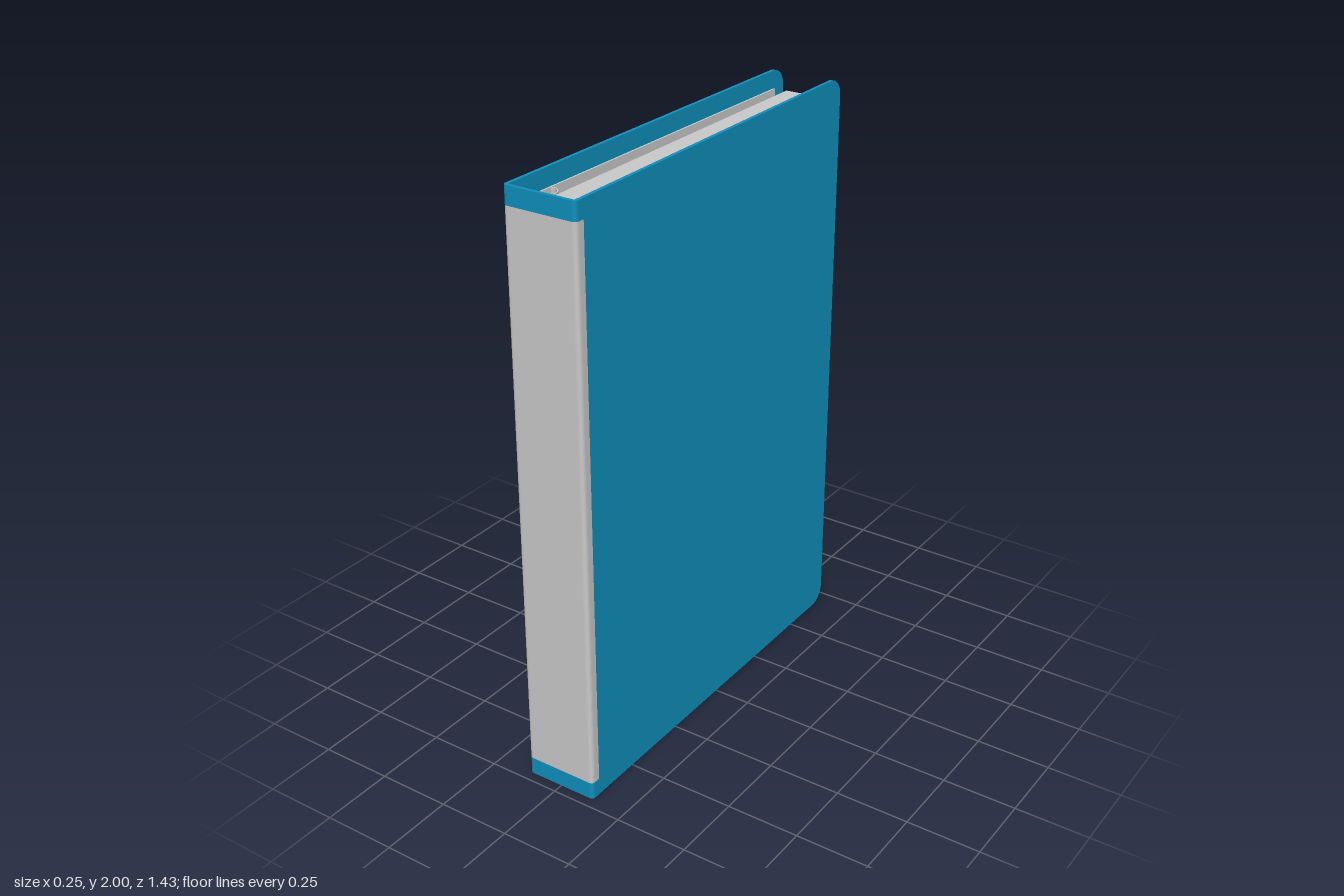
import * as THREE from 'three';

const DEPTH = 0.715;      // half depth of the case
const MARGIN = 0.06;      // border around the grey lining
const BOARD = 0.012;      // cover thickness
const SLOPE = 0.0075;     // the covers close slightly towards the back
const outerX = (z) => 0.121 + SLOPE * z;

export function createModel() {
  const book = new THREE.Group();
  book.name = 'book';
  const blue = new THREE.MeshStandardMaterial({ color: 0x0f90bd });
  blue.name = 'blue cover';
  const grey = new THREE.MeshStandardMaterial({ color: 0xcacaca });
  grey.name = 'light grey paper';

  const add = (name, geometry, material) => {
    const mesh = new THREE.Mesh(geometry, material);
    mesh.name = name;
    book.add(mesh);
    return mesh;
  };

  // Upright board with rounded rear corners, leaned to follow the cover taper
  const board = (side, zBack, zFront, y0, y1, radius, offset, thick) => {
    const s = new THREE.Shape();
    s.moveTo(-zFront, y0);
    s.lineTo(-zBack - radius, y0);
    s.absarc(-zBack - radius, y0 + radius, radius, -Math.PI / 2, 0, false);
    s.lineTo(-zBack, y1 - radius);
    s.absarc(-zBack - radius, y1 - radius, radius, 0, Math.PI / 2, false);
    s.lineTo(-zFront, y1);
    s.closePath();
    const g = new THREE.ExtrudeGeometry(s, { depth: thick, bevelEnabled: false, curveSegments: 8 });
    g.translate(0, 0, -thick / 2).rotateY(Math.PI / 2);
    const p = g.attributes.position;
    for (let i = 0; i < p.count; i++) {
      p.setX(i, p.getX(i) + side * (outerX(p.getZ(i)) - offset - thick / 2));
    }
    g.computeVertexNormals();
    return g;
  };

  // Plan outline in x and z, raised from y0 to y1
  const raise = (shape, y0, y1) => {
    const g = new THREE.ExtrudeGeometry(shape, { depth: y1 - y0, bevelEnabled: false, curveSegments: 6 });
    return g.rotateX(-Math.PI / 2).translate(0, y0, 0);
  };

  // U-shaped spine section with rounded front corners
  const zJoin = 0.68;
  const spineShape = () => {
    const s = new THREE.Shape();
    const w = outerX(DEPTH), r = 0.015;
    s.moveTo(-w, -zJoin);
    s.lineTo(-w, -DEPTH + r);
    s.quadraticCurveTo(-w, -DEPTH, -w + r, -DEPTH);
    s.lineTo(w - r, -DEPTH);
    s.quadraticCurveTo(w, -DEPTH, w, -DEPTH + r);
    s.lineTo(w, -zJoin);
    s.lineTo(w - BOARD, -zJoin);
    s.lineTo(w - BOARD, -DEPTH + BOARD);
    s.lineTo(-w + BOARD, -DEPTH + BOARD);
    s.lineTo(-w + BOARD, -zJoin);
    s.closePath();
    return s;
  };
  add('spineBottomBand', raise(spineShape(), 0, MARGIN), blue);
  add('spine', raise(spineShape(), MARGIN, 2 - MARGIN), grey);
  add('spineTopBand', raise(spineShape(), 2 - MARGIN, 2), blue);

  // Page block
  const pages = add('pageBlock', new THREE.BoxGeometry(0.11, 2 - 2 * MARGIN, 1.31), grey);
  pages.position.set(0, 1, -0.005);

  // Stiffener inside the spine
  const stiffener = add('spineStiffener', new THREE.BoxGeometry(0.2, 2 - 2 * MARGIN, 0.008), grey);
  stiffener.position.set(0, 1, 0.696);

  for (const side of [1, -1]) {
    const label = side > 0 ? 'left' : 'right';
    add(label + 'Cover', board(side, -0.718, zJoin, 0, 2, 0.06, 0, BOARD), blue);
    add(label + 'Lining', board(side, -0.658, 0.69, MARGIN, 2 - MARGIN, 0.002, BOARD, 0.006), grey);

    // Folded hinge strip joining the pages to the lining
    const curve = new THREE.CatmullRomCurve3([
      [0.107, 0.526], [0.092, 0.526], [0.074, 0.54], [0.064, 0.57],
      [0.06, 0.61], [0.064, 0.65], [0.062, 0.675], [0.045, 0.684],
    ].map(([x, z]) => new THREE.Vector3(side * x, -z, 0)));
    const path = curve.getPoints(24);
    const back = path.map((p, i) => {
      const t = curve.getTangent(i / 24);
      return new THREE.Vector2(p.x - t.y * 0.004, p.y + t.x * 0.004);
    }).reverse();
    const strip = new THREE.Shape([...path.map((p) => new THREE.Vector2(p.x, p.y)), ...back]);
    add(label + 'Hinge', raise(strip, MARGIN, 2 - MARGIN), grey);

    // Small binding rail beside the pages
    const rail = add(label + 'BindingRail', new THREE.BoxGeometry(0.016, 2 - 2 * MARGIN, 0.03), grey);
    rail.position.set(side * 0.07, 1, 0.597);
  }
  return book;
}
